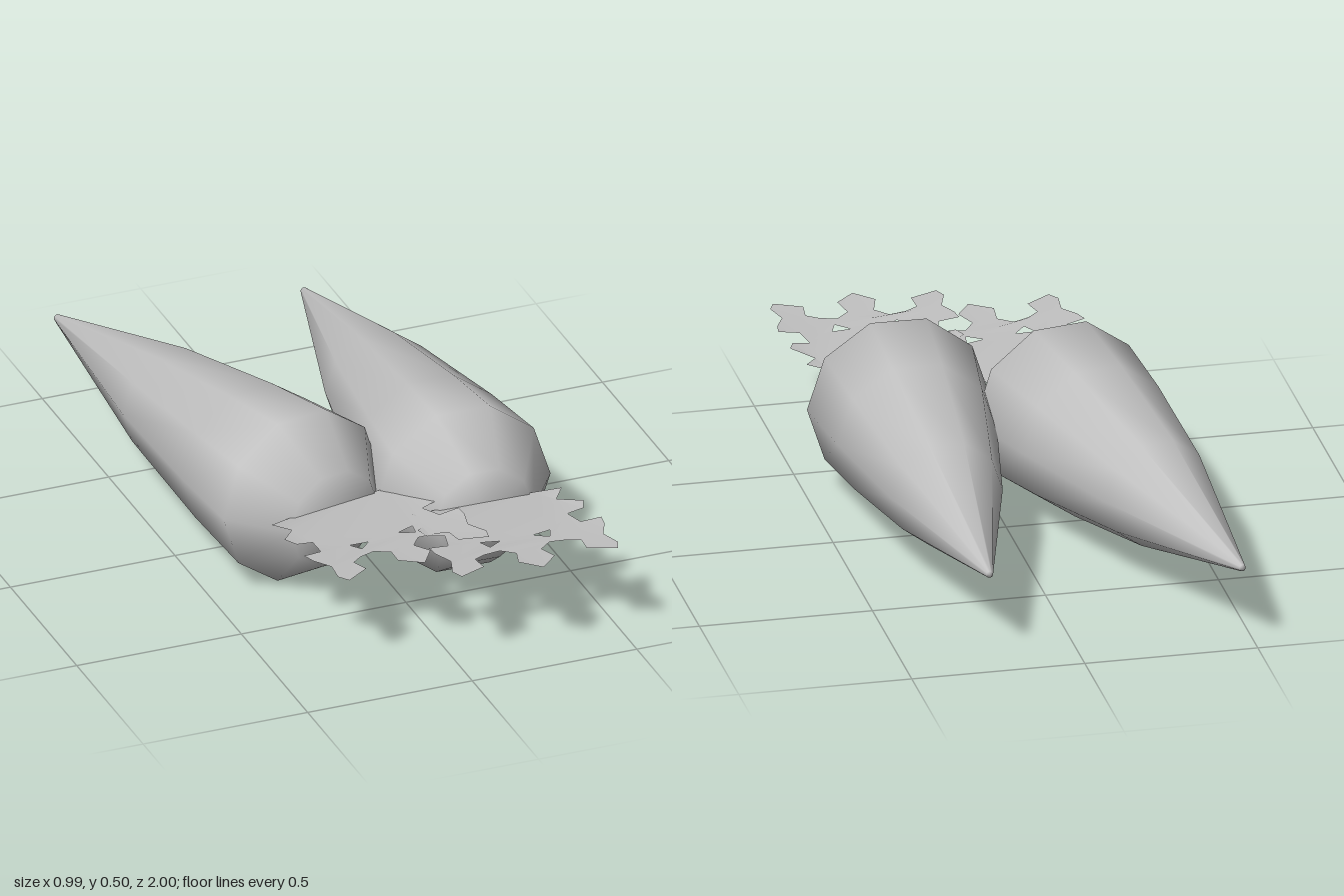
import * as THREE from 'three';

const grey = new THREE.MeshStandardMaterial({ color: 0xc0c0c0, side: THREE.DoubleSide });
grey.name = 'plain grey';

// Tapered ten-sided root, from the tip up to the crown (radius, distance)
function makeRoot() {
  const profile = [
    [0, -1.425], [0.01, -1.425], [0.16, -0.84], [0.23, -0.43],
    [0.263, -0.168], [0.148, 0], [0, 0],
  ].map(([r, d]) => new THREE.Vector2(r, d));
  const geometry = new THREE.LatheGeometry(profile, 10, Math.PI / 2);
  geometry.rotateX(Math.PI / 2);
  const root = new THREE.Mesh(geometry, grey);
  root.name = 'root';
  return root;
}

// Jagged, mirrored leaf sheet that dips towards the crown
function makeLeaf() {
  const half = [
    [0.15, -0.01], [0.225, 0.02], [0.19, 0.07], [0.25, 0.125], [0.235, 0.165],
    [0.185, 0.17], [0.2, 0.235], [0.26, 0.24], [0.255, 0.28], [0.23, 0.335],
    [0.25, 0.4], [0.235, 0.435], [0.155, 0.4], [0.16, 0.345], [0.125, 0.325],
    [0.075, 0.315], [0.038, 0.35], [0.055, 0.41],
  ];
  const mirrored = half.map(([u, v]) => [-u, v]).reverse();
  const toPoints = (list) => list.map(([u, v]) => new THREE.Vector2(u, v));
  const shape = new THREE.Shape(toPoints([[0, -0.02], ...half, [0, 0.465], ...mirrored]));
  for (const s of [-1, 1]) {
    shape.holes.push(new THREE.Path(toPoints([[s * 0.05, 0.25], [s * 0.105, 0.24], [s * 0.09, 0.28]])));
  }
  const geometry = new THREE.ShapeGeometry(shape);
  geometry.rotateX(Math.PI / 2);
  const p = geometry.attributes.position;
  for (let i = 0; i < p.count; i++) {
    const u = p.getX(i) / 0.28;
    const dip = Math.max(0, 1 - p.getZ(i) / 0.42) * (1 - u * u);
    p.setY(i, 0.07 - 0.04 * dip);
  }
  geometry.computeVertexNormals();
  const leaf = new THREE.Mesh(geometry, grey);
  leaf.name = 'leaf';
  return leaf;
}

function makeCarrot(name, x, z, turn) {
  const carrot = new THREE.Group();
  carrot.name = name;
  carrot.add(makeRoot(), makeLeaf());
  carrot.position.set(x, 0.25, z);
  carrot.rotation.y = turn;
  return carrot;
}

export function createModel() {
  const model = new THREE.Group();
  model.name = 'carrots';
  model.add(
    makeCarrot('leftCarrot', 0.225, 0.535, -0.0175),
    makeCarrot('rightCarrot', -0.175, 0.395, 0.198),
  );
  return model;
}
